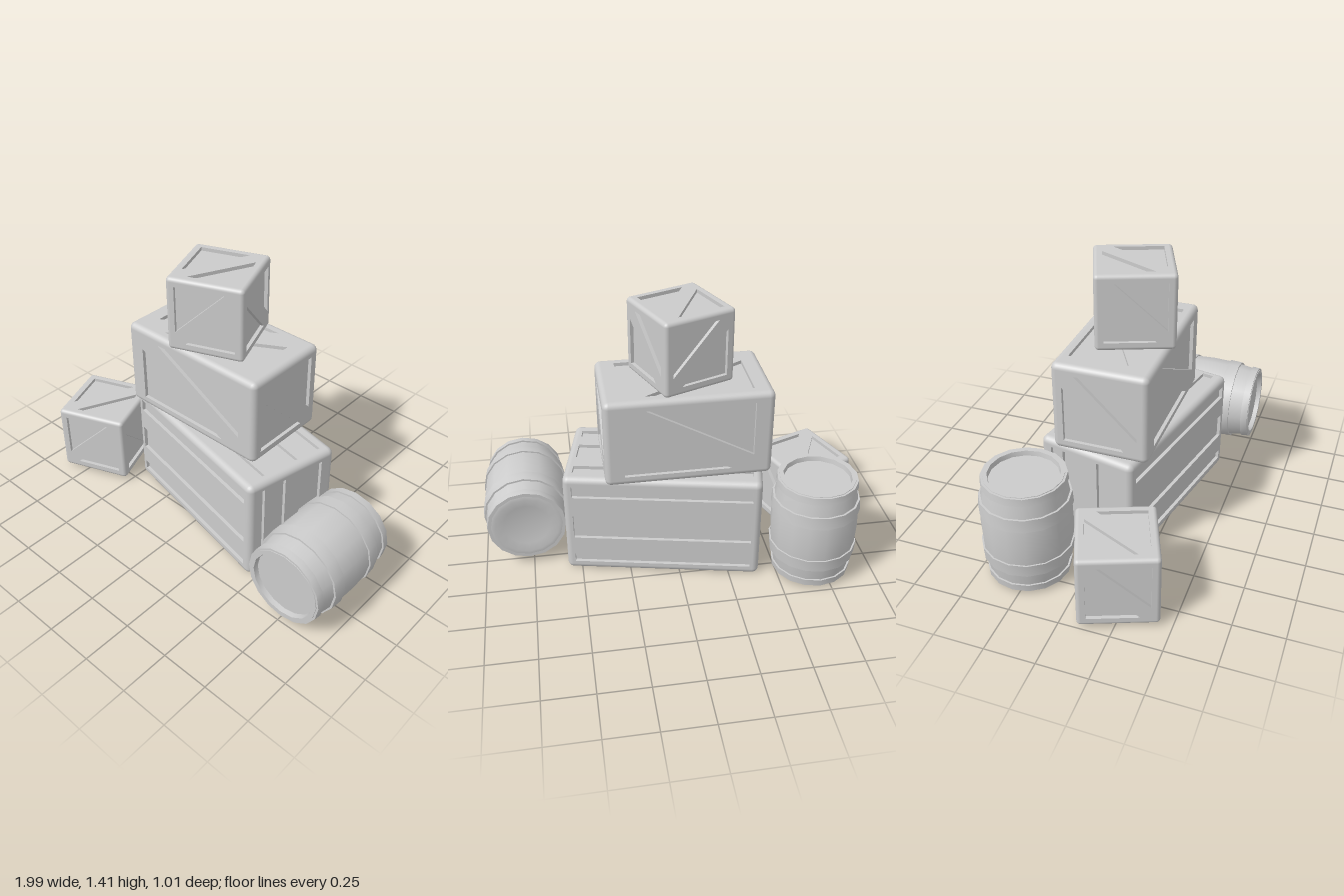
import * as THREE from 'three';
import { RoundedBoxGeometry } from 'three/addons/geometries/RoundedBoxGeometry.js';
import { toCreasedNormals } from 'three/addons/utils/BufferGeometryUtils.js';

const material = new THREE.MeshStandardMaterial({ color: 0xcccccc });
const DEPTH = 0.018; // how far the panels sit behind the frames

function addMesh(parent, name, geometry) {
  const mesh = new THREE.Mesh(geometry, material);
  mesh.name = name;
  parent.add(mesh);
  return mesh;
}

// Rounded edges and corners only: a rounded box without its flat sides
function roundedEdges(size, radius) {
  const box = new RoundedBoxGeometry(...size, 3, radius);
  const pos = box.attributes.position, nor = box.attributes.normal;
  const positions = [], normals = [];
  for (let i = 0; i < pos.count; i += 3) {
    const flat = size.some((s, axis) => [0, 1, 2].every(
      k => Math.abs(Math.abs(pos.getComponent(i + k, axis)) - s / 2) < 1e-4));
    if (flat) continue;
    for (let k = i; k < i + 3; k++) {
      positions.push(pos.getX(k), pos.getY(k), pos.getZ(k));
      normals.push(nor.getX(k), nor.getY(k), nor.getZ(k));
    }
  }
  const geometry = new THREE.BufferGeometry();
  geometry.setAttribute('position', new THREE.Float32BufferAttribute(positions, 3));
  geometry.setAttribute('normal', new THREE.Float32BufferAttribute(normals, 3));
  return geometry;
}

// Two triangular openings that leave a diagonal brace; flip = 1 falls to the right, -1 rises
const braced = flip => (a, b) => [1, -1].map(s => [
  [-a + 0.34 * a, b], [a, b], [a, -b + 0.38 * b],
].map(([u, v]) => [s * u * flip, s * v]));

// Long openings between planks, along u or along v
const planked = (strips, upright) => (a, b) => strips.map(([p, q]) => upright
  ? [[p, -b], [q, -b], [q, b], [p, b]]
  : [[-a, p], [a, p], [a, q], [-a, q]]);

// Frame of one crate side, cut by its openings
function frameGeometry(w, h, openings) {
  const outline = (P, pts) => new P(pts.map(([u, v]) => new THREE.Vector2(u, v)));
  const shape = outline(THREE.Shape, [[-w, -h], [w, -h], [w, h], [-w, h]]);
  shape.holes = openings.map(pts => outline(THREE.Path, pts));
  return new THREE.ExtrudeGeometry(shape, { depth: DEPTH, bevelEnabled: false });
}

function makeCrate(name, size, margin, radius, patterns) {
  const crate = new THREE.Group();
  crate.name = name;
  const [x, y, z] = size.map(s => s / 2);
  const [mx, my, mz] = margin;
  const q = Math.PI / 2;
  addMesh(crate, 'panels', new THREE.BoxGeometry(...size.map(s => s - 2 * DEPTH)));
  addMesh(crate, 'roundedEdges', roundedEdges(size, radius));
  // name, rotation x, rotation y, half width, half height, margins, distance, pattern
  const sides = [
    ['frontFrame', 0, 0, x, y, mx, my, z, patterns.front],
    ['backFrame', 0, 2 * q, x, y, mx, my, z, patterns.front],
    ['leftFrame', 0, q, z, y, mz, my, x, patterns.end],
    ['rightFrame', 0, -q, z, y, mz, my, x, patterns.end],
    ['topFrame', -q, 0, x, z, mx, mz, y, patterns.top],
    ['bottomFrame', q, 0, x, z, mx, mz, y, patterns.top],
  ];
  for (const [side, rx, ry, w, h, mu, mv, dist, pattern] of sides) {
    const geometry = frameGeometry(w - radius, h - radius, pattern(w - mu, h - mv));
    geometry.translate(0, 0, dist - DEPTH).rotateX(rx).rotateY(ry);
    addMesh(crate, side, geometry);
  }
  return crate;
}

function makeBarrel(name) {
  const barrel = new THREE.Group();
  barrel.name = name;
  const sides = 16;
  const lathe = (part, pts) => addMesh(barrel, part, toCreasedNormals(
    new THREE.LatheGeometry(pts.map(p => new THREE.Vector2(...p)), sides), 0.5));
  // Bulging staves with a rounded base and a sunken lid
  lathe('staves', [
    [0, -0.26], [0.12, -0.265], [0.165, -0.275], [0.185, -0.272], [0.194, -0.26],
    [0.198, -0.235], [0.21, -0.165], [0.217, -0.1], [0.221, 0], [0.217, 0.1],
    [0.21, 0.165], [0.198, 0.235], [0.192, 0.275], [0.172, 0.275], [0.168, 0.25], [0, 0.25],
  ]);
  // Hoops around the belly and at both ends
  const hoops = [[0.1, 0.221, 0.165, 0.216], [0.235, 0.203, 0.272, 0.199]];
  for (const [y0, r0, y1, r1] of hoops) {
    lathe('upperHoop', [[r0 - 0.02, y0], [r0 + 0.004, y0], [r1 + 0.004, y1], [r1 - 0.02, y1]]);
    lathe('lowerHoop', [[r1 - 0.02, -y1], [r1 + 0.004, -y1], [r0 + 0.004, -y0], [r0 - 0.02, -y0]]);
  }
  return barrel;
}

export function createModel() {
  const model = new THREE.Group();
  model.name = 'crateAndBarrelPile';
  const place = (part, x, y, z, rx = 0, ry = 0) => {
    part.position.set(x, y, z);
    part.rotation.set(rx, ry, 0);
    model.add(part);
  };

  // Long plank crate at the base
  const longPlanks = {
    front: planked([[-0.235, -0.185], [-0.08, 0.055], [0.17, 0.235]], false),
    end: planked([[-0.2, -0.17], [-0.13, -0.045], [0.065, 0.18]], true),
    top: planked([[-0.2, -0.14], [-0.06, 0.06], [0.14, 0.2]], false),
  };
  place(makeCrate('longCrate', [1.0, 0.57, 0.52], [0.045, 0.045, 0.045], 0.032, longPlanks),
    0.035, 0.285, 0.03, 0, -0.21);

  // Wide braced crate on top of it
  const wideBraces = { front: braced(1), end: braced(1), top: braced(-1) };
  place(makeCrate('wideCrate', [0.83, 0.46, 0.475], [0.095, 0.05, 0.055], 0.03, wideBraces),
    -0.05, 0.80, 0.007);

  // Two small braced crates
  const smallBraces = { front: braced(-1), end: braced(1), top: braced(-1) };
  const smallCrate = name =>
    makeCrate(name, [0.382, 0.38, 0.382], [0.042, 0.042, 0.042], 0.02, smallBraces);
  place(smallCrate('topCrate'), -0.042, 1.217, 0.031, 0, 0.375);
  place(smallCrate('sideCrate'), -0.758, 0.207, 0.2, 0, 0.375);

  // One standing barrel and one lying with its lid to the front
  place(makeBarrel('standingBarrel'), -0.69, 0.29, -0.28);
  place(makeBarrel('lyingBarrel'), 0.77, 0.245, 0.228, Math.PI / 2);

  return model;
}
